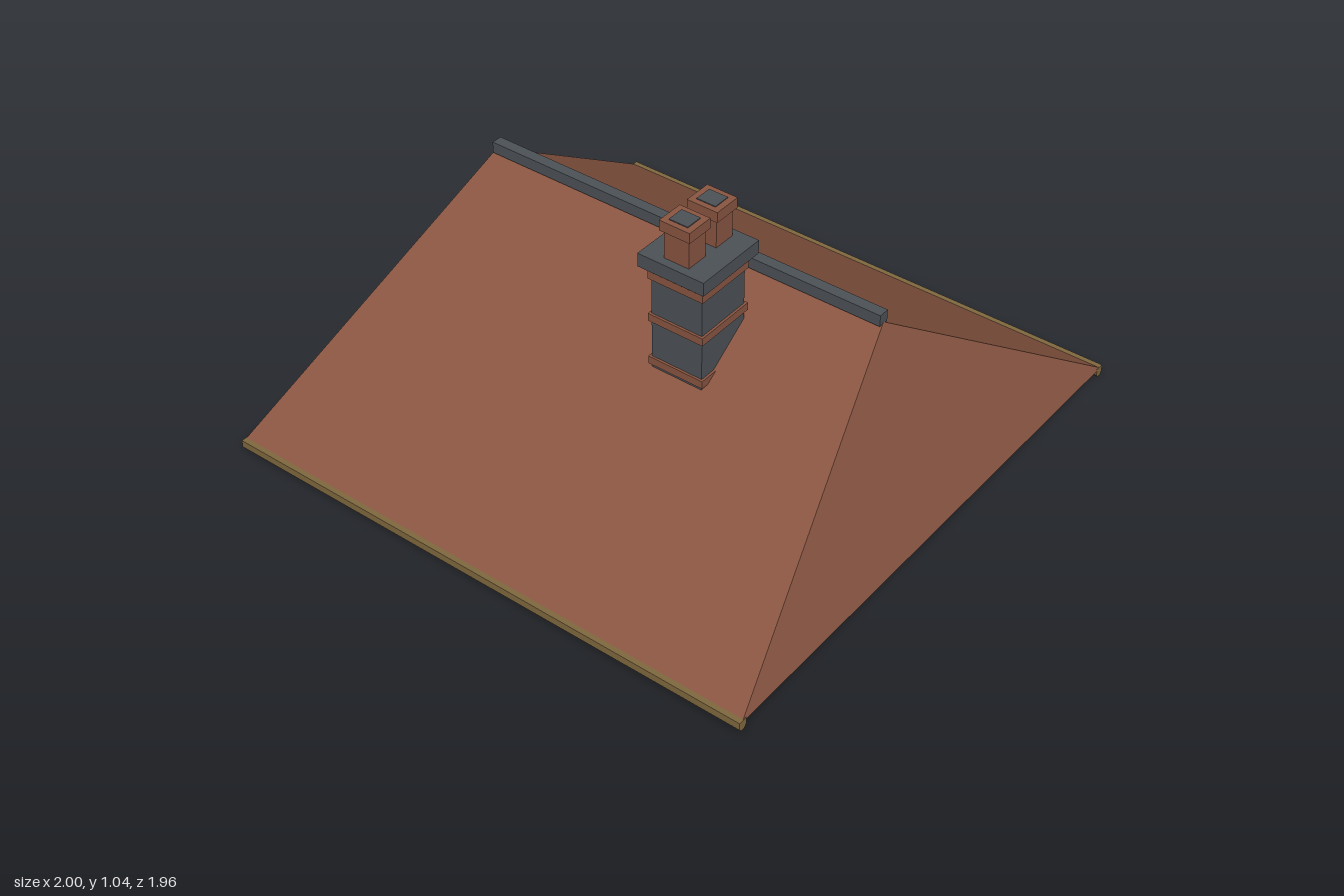
import * as THREE from 'three';

export function createModel() {
  const model = new THREE.Group();
  const mat = (name, color, extra = {}) => {
    const m = new THREE.MeshStandardMaterial({ color, ...extra });
    m.name = name;
    return m;
  };
  const tile = mat('terracotta tile', 0x8a5642, { side: THREE.DoubleSide, flatShading: true });
  const slate = mat('slate grey', 0x4d5257);
  const wood = mat('ochre gutter', 0x80693f);

  const add = (name, geometry, material, parent = model) => {
    const mesh = new THREE.Mesh(geometry, material);
    mesh.name = name;
    parent.add(mesh);
    return mesh;
  };
  // Box given by its centre in x and z, bottom and top heights, width and depth
  const block = (name, material, x, z, y0, y1, w, d, parent) => {
    const mesh = add(name, new THREE.BoxGeometry(w, y1 - y0, d), material, parent);
    mesh.position.set(x, (y0 + y1) / 2, z);
    return mesh;
  };

  // Hipped roof shell, open underneath
  const ex = 0.99, ez = 0.98, eaveY = 0.03, peakY = 0.715, rz = 0.745;
  const face = (...pts) => {
    const g = new THREE.BufferGeometry().setFromPoints(pts.map(p => new THREE.Vector3(...p)));
    g.setIndex(pts.length === 4 ? [0, 1, 2, 0, 2, 3] : [0, 1, 2]);
    g.computeVertexNormals();
    return g;
  };
  for (const s of [1, -1]) {
    // Rotating by half a turn keeps the winding facing outwards
    add(s > 0 ? 'leftSlope' : 'rightSlope', face(
      [s * ex, eaveY, s * ez], [s * ex, eaveY, -s * ez],
      [0, peakY, -s * rz], [0, peakY, s * rz]), tile);
    add(s > 0 ? 'frontHip' : 'backHip', face(
      [-s * ex, eaveY, s * ez], [s * ex, eaveY, s * ez], [0, peakY, s * rz]), tile);
  }

  // Ridge capping and the batten under it
  block('ridgeCap', slate, 0, 0, 0.708, 0.748, 0.038, 2 * rz);
  block('ridgeBatten', wood, 0, 0, 0.69, 0.697, 0.03, 2 * rz - 0.02);

  // Gutters along both long eaves
  const profile = new THREE.Shape([
    [0.968, 0.012], [0.978, 0], [0.992, 0], [1, 0.01], [1, 0.036], [0.968, 0.036],
  ].map(p => new THREE.Vector2(...p)));
  for (const s of [1, -1]) {
    const g = new THREE.ExtrudeGeometry(profile, { depth: 2 * ez, bevelEnabled: false });
    g.translate(0, 0, -ez);
    const gutter = add(s > 0 ? 'leftGutter' : 'rightGutter', g, wood);
    if (s < 0) gutter.rotation.y = Math.PI;
  }

  // Chimney passing through the right slope
  const chimney = new THREE.Group();
  chimney.name = 'chimney';
  model.add(chimney);
  const cx = -0.239, cz = 0.25;
  block('stack', slate, cx, cz, 0.37, 0.86, 0.206, 0.186, chimney);
  for (const y of [0.492, 0.652, 0.807])
    block('brickBand', tile, cx, cz, y, y + 0.027, 0.222, 0.202, chimney);
  block('chimneyCap', slate, cx, cz, 0.855, 0.902, 0.266, 0.24, chimney);

  // Two square chimney pots with dark openings
  for (const s of [-1, 1]) {
    const x = cx + s * 0.065;
    block('pot', tile, x, cz, 0.9, 1.005, 0.078, 0.09, chimney);
    block('potRim', tile, x, cz, 1.0, 1.036, 0.097, 0.11, chimney);
    block('potOpening', slate, x, cz, 1.034, 1.039, 0.06, 0.068, chimney);
  }
  return model;
}
